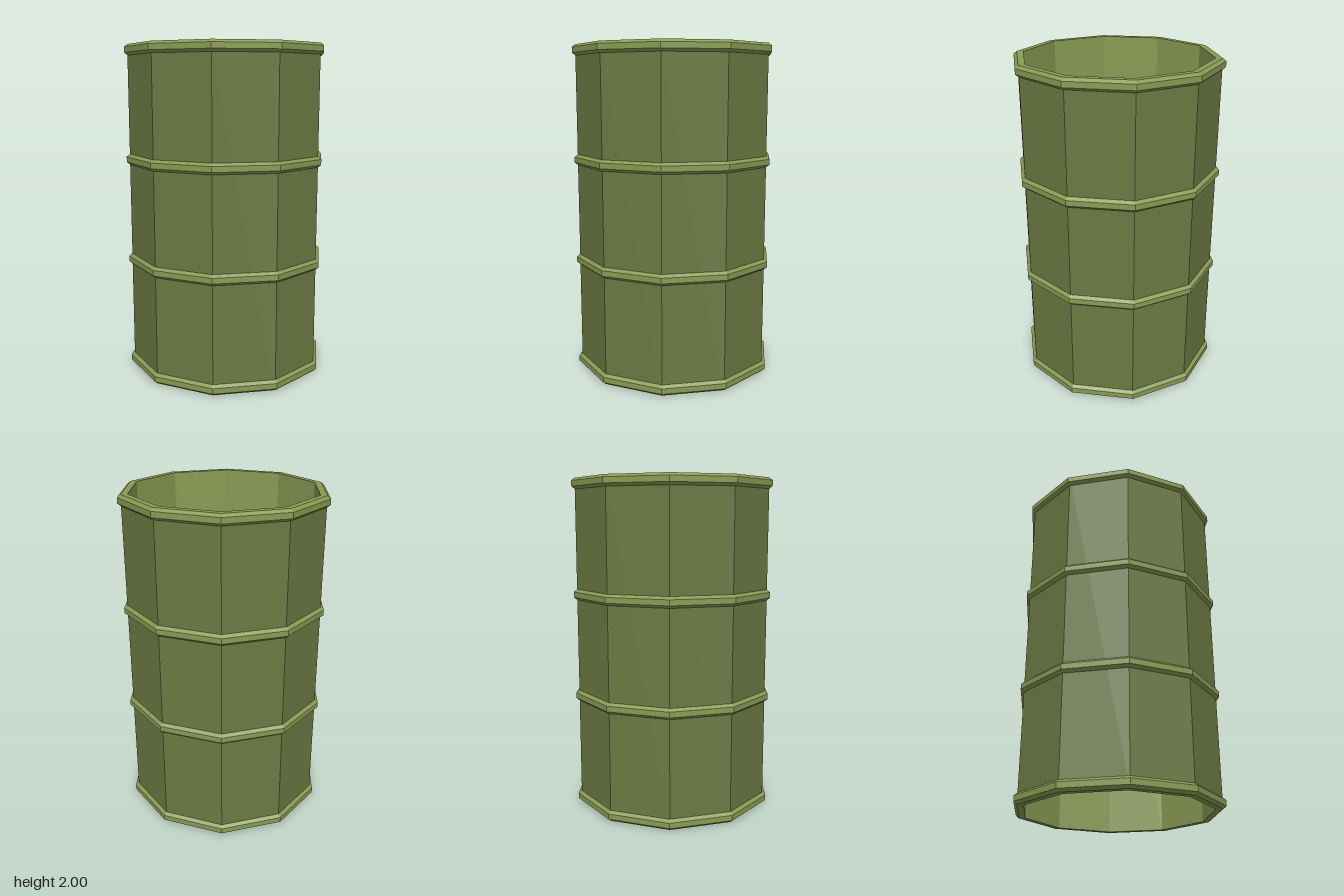
import * as THREE from 'three';

const SIDES = 10;
const WALL_R = 0.6;
const HOOP_R = 0.62;
const INNER_R = 0.56;
const HOOP_H = 0.065;
const BEVEL = 0.016;

// Ten-sided surface of revolution with a corner on the x axis
function ring(name, profile, material) {
  const points = profile.map(([r, y]) => new THREE.Vector2(r, y));
  const mesh = new THREE.Mesh(new THREE.LatheGeometry(points, SIDES, Math.PI / 2), material);
  mesh.name = name;
  return mesh;
}

export function createModel() {
  const group = new THREE.Group();
  group.name = 'barrel';

  const darkOlive = new THREE.MeshStandardMaterial({ color: 0x6c7a43, flatShading: true });
  darkOlive.name = 'dark olive';
  const lightOlive = new THREE.MeshStandardMaterial({ color: 0x899b53, flatShading: true });
  lightOlive.name = 'light olive';

  // Outer wall
  group.add(ring('outerWall', [[WALL_R, 0], [WALL_R, 2]], darkOlive));

  // Open lining, with the flat rims at both ends
  group.add(ring('lining', [[WALL_R, 2], [INNER_R, 2], [INNER_R, 0], [WALL_R, 0]], lightOlive));

  // Bevelled hoops, listed by their lower edge
  const hoops = { bottomHoop: 0, lowerHoop: 0.655, upperHoop: 1.28, topHoop: 2 - HOOP_H };
  for (const [name, y] of Object.entries(hoops)) {
    group.add(ring(name, [
      [WALL_R, y],
      [HOOP_R, y + BEVEL],
      [HOOP_R, y + HOOP_H - BEVEL],
      [WALL_R, y + HOOP_H],
    ], lightOlive));
  }

  return group;
}
